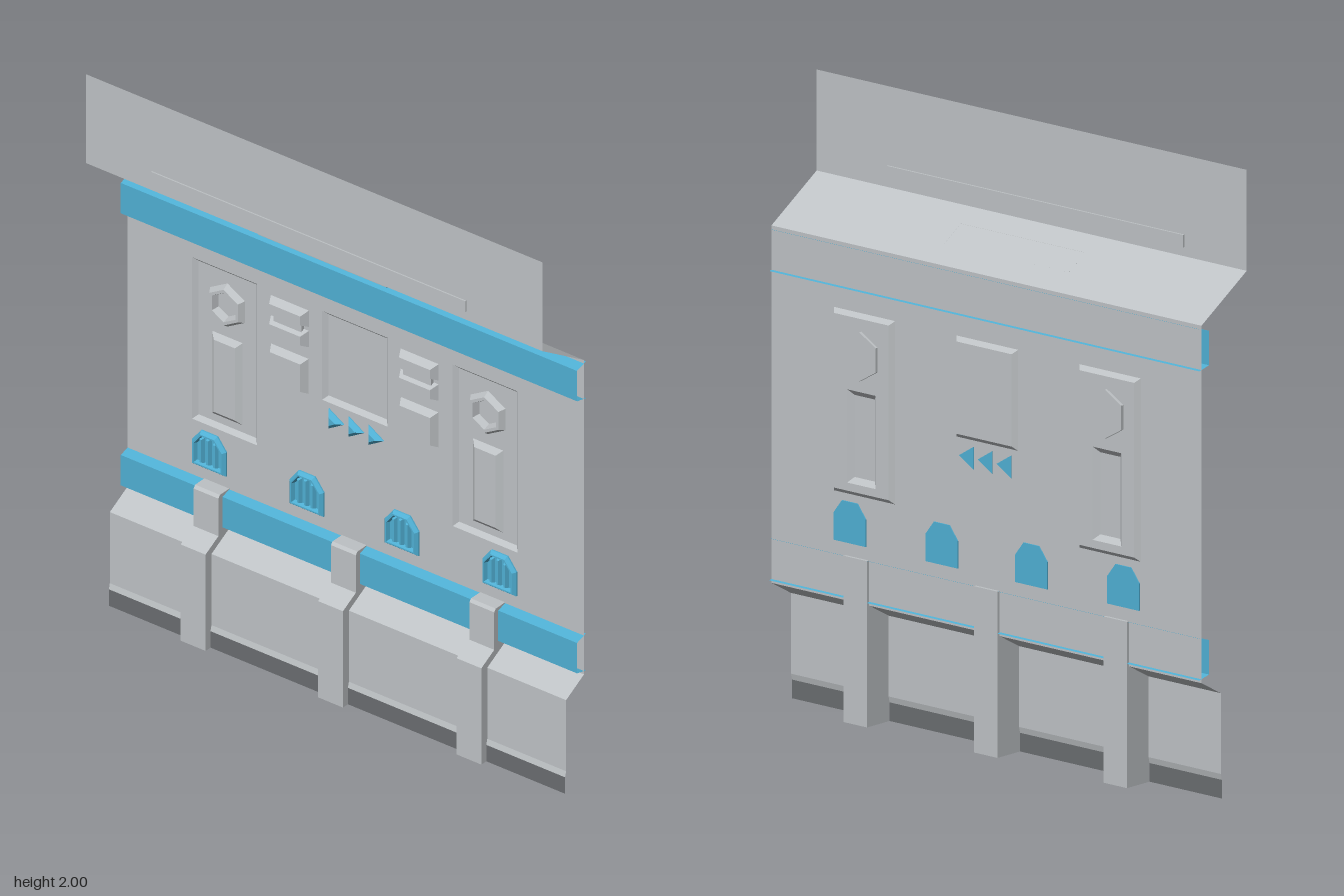
import * as THREE from 'three';

const mat = (name, color) => new THREE.MeshStandardMaterial({ name, color, side: THREE.DoubleSide });
const grey = mat('light grey', 0xbdc1c4);
const blue = mat('blue', 0x4fafd3);
const dark = mat('dark grey', 0x696c6f);

const WALL = -0.095, PAN = -0.11, MID = -0.004, HALF = 0.9;

const rect = (cx, cy, w, h) => [
  [cx - w / 2, cy - h / 2], [cx + w / 2, cy - h / 2], [cx + w / 2, cy + h / 2], [cx - w / 2, cy + h / 2]];
const hexagon = (cx, cy, r) => Array.from({ length: 6 }, (_, i) => {
  const a = Math.PI / 2 + i * Math.PI / 3;
  return [cx + r * Math.cos(a), cy + r * Math.sin(a)];
});

function fromTriangles(pos) {
  const g = new THREE.BufferGeometry();
  g.setAttribute('position', new THREE.Float32BufferAttribute(pos, 3));
  g.computeVertexNormals();
  return g;
}

// Moves every edge of a convex counter-clockwise outline inward by d
function inset(pts, d) {
  const n = pts.length;
  return pts.map((p, i) => {
    const a = pts[(i + n - 1) % n], b = pts[(i + 1) % n];
    const u = new THREE.Vector2(p[0] - a[0], p[1] - a[1]).normalize();
    const v = new THREE.Vector2(b[0] - p[0], b[1] - p[1]).normalize();
    const k = d / (1 + u.dot(v));
    return [p[0] + k * (-u.y - v.y), p[1] + k * (u.x + v.x)];
  });
}

// Bevelled boss or pan: an outline stepped through [inset, z] pairs
function loft(pts, steps, { front = true, back = false } = {}) {
  const loops = steps.map(([d, z]) => inset(pts, d).map(p => [...p, z]));
  const pos = [], n = pts.length;
  const tri = (...c) => c.forEach(p => pos.push(...p));
  for (let s = 0; s + 1 < loops.length; s++) {
    const a = loops[s], b = loops[s + 1];
    for (let i = 0; i < n; i++) {
      const j = (i + 1) % n;
      tri(a[i], a[j], b[j]);
      tri(a[i], b[j], b[i]);
    }
  }
  const last = loops[loops.length - 1];
  for (let i = 1; i + 1 < n; i++) {
    if (front) tri(last[0], last[i], last[i + 1]);
    if (back) tri(loops[0][0], loops[0][i + 1], loops[0][i]);
  }
  return fromTriangles(pos);
}

// Full-width sheet along x from a [y, z] profile, listed top to bottom
function sheet(profile) {
  const pos = [];
  for (let i = 0; i + 1 < profile.length; i++) {
    const [y0, z0] = profile[i], [y1, z1] = profile[i + 1];
    pos.push(-HALF, y0, z0, -HALF, y1, z1, HALF, y1, z1);
    pos.push(-HALF, y0, z0, HALF, y1, z1, HALF, y0, z0);
  }
  return fromTriangles(pos);
}

// Flat plate with holes
function plate(outline, holes, z) {
  const v = pts => pts.map(p => new THREE.Vector2(...p));
  const shape = new THREE.Shape(v(outline));
  shape.holes = holes.map(h => new THREE.Path(v(h)));
  return new THREE.ShapeGeometry(shape).translate(0, 0, z);
}

export function createModel() {
  const group = new THREE.Group();
  const add = (name, geo, material = grey) => {
    const m = new THREE.Mesh(geo, material);
    m.name = name;
    group.add(m);
    return m;
  };

  // Wall sheets
  add('upperPanel', sheet([[2, 0.115], [1.675, 0.115], [1.54, WALL]]));
  add('lowerConsole', sheet([[0.39, WALL], [0.34, -0.005], [0.08, -0.005], [0.06, 0]]));
  add('baseStrip', sheet([[0.06, 0], [0, 0]]), dark);

  const tall = [-1, 1].map(s => rect(MID + s * 0.514, 1.03, 0.256, 0.59));
  const screen = rect(MID, 1.1625, 0.258, 0.325);
  add('wall', plate(rect(0, 0.965, 2 * HALF, 1.15), [...tall, screen], WALL));

  // Horizontal bands
  for (const y of [1.395, 0.4]) {
    add('band', sheet([[y + 0.135, -0.105], [y + 0.122, -0.06], [y + 0.011, -0.06], [y, -0.105]]), blue);
  }

  // Strip on the upper panel and lamp under the slope
  add('upperStrip', new THREE.BoxGeometry(1.24, 0.04, 0.012).translate(-0.02, 1.725, 0.114));
  const lamp = add('slopeLamp', loft(rect(0, 0, 0.52, 0.09),
    [[0, -0.001], [0.008, 0.009], [0.02, 0.009], [0.03, 0.002]]));
  lamp.position.set(-0.02, 1.61, 0.015);
  lamp.rotation.x = 1.0;

  // Recessed screen
  add('screen', loft(screen, [[0, WALL], [0.014, PAN]]));

  [-1, 1].forEach((s, i) => {
    // Tall recessed panel with a hexagonal port and a raised slab
    const cx = MID + s * 0.514;
    const hex = hexagon(cx, 1.192, 0.079);
    const slab = rect(cx, 0.925, 0.12, 0.3);
    add('tallPanelRim', loft(tall[i], [[0, WALL], [0.014, PAN]], { front: false }));
    add('tallPanelFloor', plate(inset(tall[i], 0.014), [hex, slab], PAN));
    add('hexPort', loft(hex, [[0, -0.12], [0, PAN], [0.012, -0.09], [0.022, -0.09], [0.03, -0.115]], { back: true }));
    add('panelSlab', loft(slab, [[0, PAN], [0.018, -0.094]]));

    // Raised buttons
    const bx = MID + s * 0.256;
    add('squareButton', loft(rect(bx, 1.065, 0.148, 0.128), [[0, WALL], [0.014, -0.07]]));
    for (const y of [1.202, 1.276]) {
      add('splitButton', loft(rect(bx, y, 0.15, 0.06), [[0, WALL], [0.014, -0.068]]));
    }
    add('buttonLink', loft(rect(bx, 1.239, 0.11, 0.03), [[0, WALL], [0, -0.082]]));
  });

  // Arrow markers
  for (const x of [-0.105, -0.026, 0.052]) {
    add('arrowMarker', loft([[x, 0.907], [x + 0.06, 0.943], [x, 0.98]],
      [[0, -0.098], [0, -0.092], [0.012, -0.077]], { back: true }), blue);
  }

  // Slotted vents
  for (const x of [-0.575, -0.19, 0.185, 0.57]) {
    const outline = [[-0.067, 0.577], [0.067, 0.577], [0.067, 0.665], [0.032, 0.71], [-0.032, 0.71], [-0.067, 0.665]]
      .map(([px, y]) => [x + px, y]);
    add('vent', loft(outline,
      [[0, -0.099], [0, -0.09], [0.009, -0.079], [0.014, -0.079], [0.019, -0.093]], { back: true }), blue);
    for (const dx of [-0.027, 0, 0.027]) {
      const h = dx ? 0.092 : 0.098;
      add('ventBar', loft(rect(x + dx, 0.594 + h / 2, 0.017, h), [[0, -0.093], [0.005, -0.08]]), blue);
    }
  }

  // Brackets over the console
  const profile = new THREE.Shape([[-0.105, 0], [0.025, 0], [0.025, 0.352], [-0.04, 0.388],
    [-0.04, 0.525], [-0.048, 0.535], [-0.105, 0.535]].map(p => new THREE.Vector2(...p)));
  for (const x of [-0.548, -0.006, 0.54]) {
    const geo = new THREE.ExtrudeGeometry(profile, { depth: 0.098, bevelEnabled: false });
    add('bracket', geo.rotateY(-Math.PI / 2).translate(x + 0.049, 0, 0));
  }

  return group;
}
